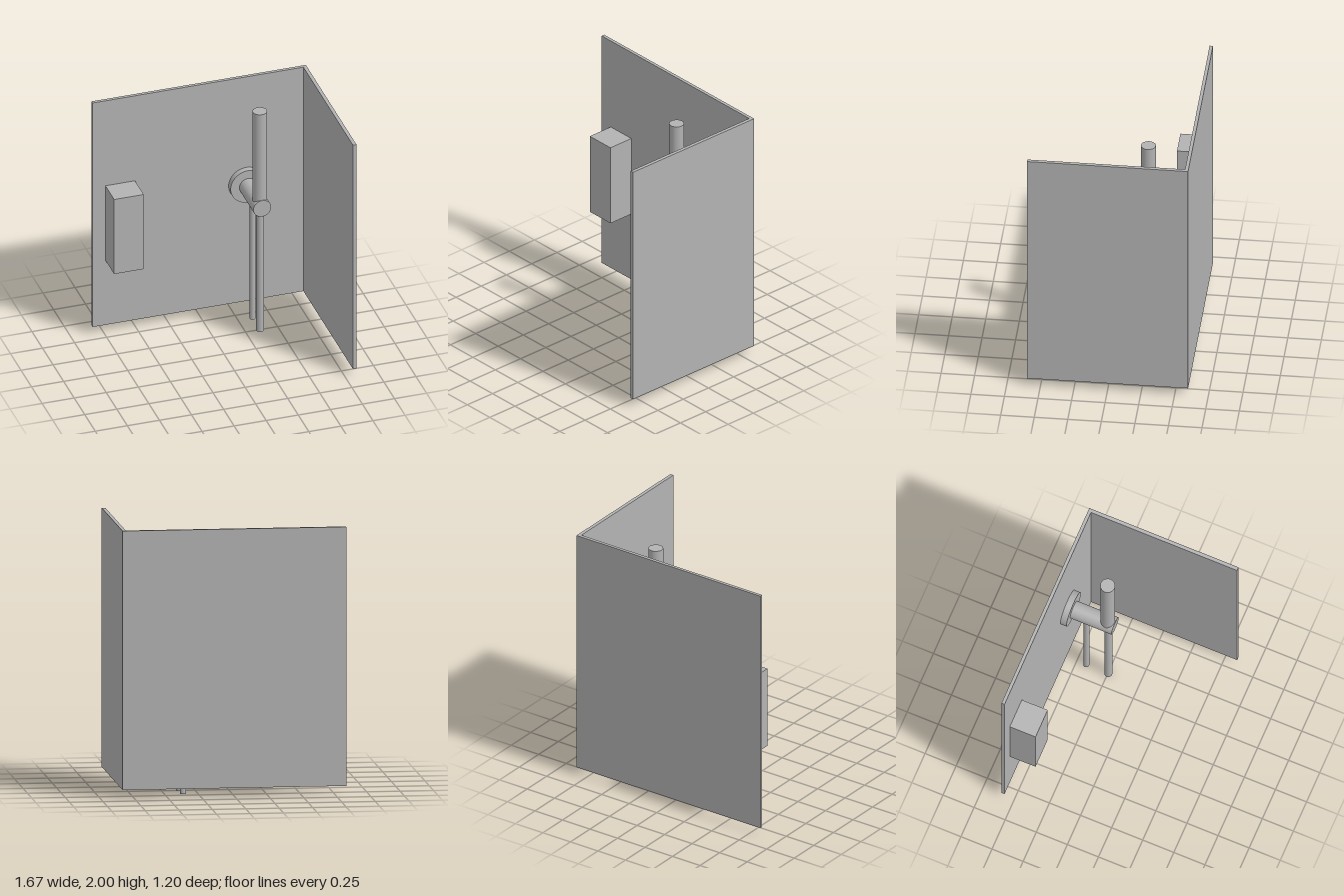
import * as THREE from 'three';

export function createModel() {
  const model = new THREE.Group();
  model.name = 'wallMountedFixture';
  const grey = new THREE.MeshStandardMaterial({ color: 0xb3b3b3 });
  grey.name = 'plain grey';

  const add = (name, geometry, x, y, z) => {
    const mesh = new THREE.Mesh(geometry, grey);
    mesh.name = name;
    mesh.position.set(x, y, z);
    model.add(mesh);
    return mesh;
  };
  // Box given by its minimum and maximum corners
  const box = (name, a, b) => add(
    name,
    new THREE.BoxGeometry(b[0] - a[0], b[1] - a[1], b[2] - a[2]),
    (a[0] + b[0]) / 2, (a[1] + b[1]) / 2, (a[2] + b[2]) / 2
  );
  // Upright round bar between two heights
  const upright = (name, r, y0, y1, z) =>
    add(name, new THREE.CylinderGeometry(r, r, y1 - y0, 48), AXIS_X, (y0 + y1) / 2, z);
  // Round bar running front to back
  const horizontal = (name, r, z0, z1) => {
    const bar = add(name, new THREE.CylinderGeometry(r, r, z1 - z0, 64), AXIS_X, AXIS_Y, (z0 + z1) / 2);
    bar.rotation.x = Math.PI / 2;
  };
  const AXIS_X = 0.362, AXIS_Y = 1.08;

  // Two thin walls meeting at the back left corner
  box('backWall', [-0.835, 0.062, -0.6], [0.835, 2, -0.575]);
  box('sideWall', [0.808, 0.062, -0.575], [0.835, 2, 0.6]);

  // Block fixed to the back wall
  box('wallBox', [-0.735, 0.62, -0.575], [-0.505, 1.265, -0.368]);

  // Wall flange and the body standing out from it
  horizontal('flange', 0.137, -0.575, -0.526);
  horizontal('valveBody', 0.069, -0.526, -0.193);

  // Thick bar rising from the body, two pipes hanging below it
  upright('upperBar', 0.055, 1.08, 1.89, -0.252);
  upright('frontPipe', 0.03, 0, 1.08, -0.247);
  upright('rearPipe', 0.022, 0, 1.08, -0.424);

  return model;
}
